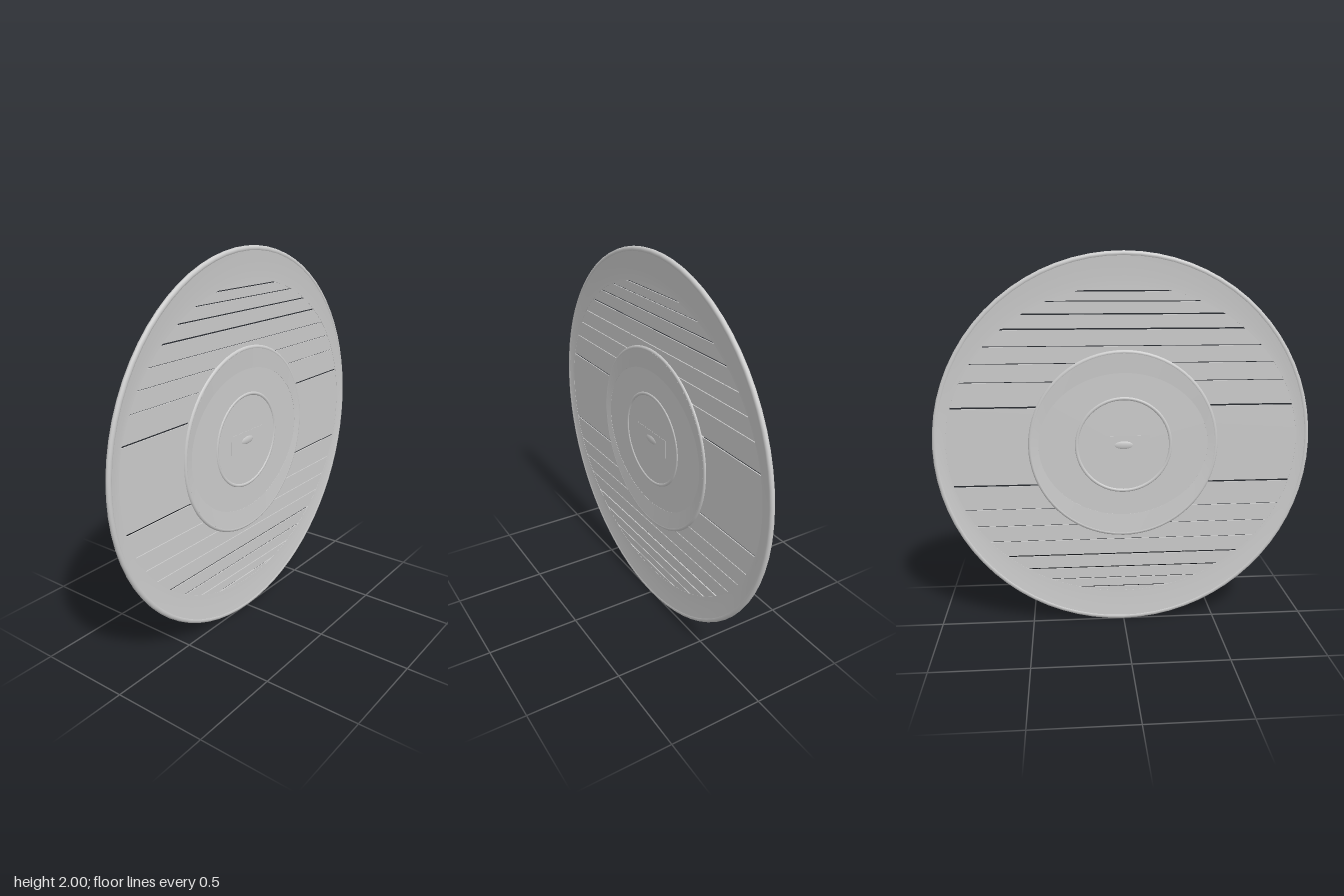
import * as THREE from 'three';
import { toCreasedNormals } from 'three/addons/utils/BufferGeometryUtils.js';

const SEG = 72;
const material = new THREE.MeshStandardMaterial({ color: 0xcccccc });

function add(group, name, geometry) {
  const mesh = new THREE.Mesh(geometry, material);
  mesh.name = name;
  group.add(mesh);
  return mesh;
}

// Two-faced dished band running from an outer circle down to an inner ellipse
function dishedBand(r, zOuter, rx, ry, zInner, power) {
  const steps = 8, section = [];
  for (let i = 0; i <= steps; i++) {
    const t = i / steps;
    section.push([t, zInner + (zOuter - zInner) * Math.pow(1 - t, power)]);
  }
  const loop = [...section, ...section.map(([t, z]) => [t, -z]).reverse()];
  const positions = [], index = [], n = loop.length;
  for (const [t, z] of loop) {
    for (let j = 0; j < SEG; j++) {
      const a = (j / SEG) * Math.PI * 2;
      positions.push((r + (rx - r) * t) * Math.cos(a), (r + (ry - r) * t) * Math.sin(a), z);
    }
  }
  for (let i = 0; i < n; i++) {
    for (let j = 0; j < SEG; j++) {
      const i2 = (i + 1) % n, j2 = (j + 1) % SEG;
      const a = i * SEG + j, b = i * SEG + j2, c = i2 * SEG + j2, d = i2 * SEG + j;
      index.push(a, b, c, a, c, d);
    }
  }
  const g = new THREE.BufferGeometry();
  g.setAttribute('position', new THREE.Float32BufferAttribute(positions, 3));
  g.setIndex(index);
  g.computeVertexNormals();
  return toCreasedNormals(g, 0.6);
}

// Round bead following a circle, flattened front to back
function bead(outer, inner, halfDepth) {
  const tube = (outer - inner) / 2;
  return new THREE.TorusGeometry((outer + inner) / 2, tube, 12, SEG).scale(1, 1, halfDepth / tube);
}

// Horizontal slat between two heights, its ends following the panel's ellipse
function slat(y0, y1, halfDepth) {
  const rx = 0.94, ry = 0.84, steps = 10, right = [];
  for (let i = 0; i <= steps; i++) {
    const y = y0 + ((y1 - y0) * i) / steps;
    right.push(new THREE.Vector2(rx * Math.sqrt(Math.max(0, 1 - (y / ry) ** 2)), y));
  }
  const left = right.map((p) => new THREE.Vector2(-p.x - 1e-4, p.y)).reverse();
  const g = new THREE.ExtrudeGeometry(new THREE.Shape([...right, ...left]), {
    depth: halfDepth * 2, bevelEnabled: false,
  });
  return g.translate(0, 0, -halfDepth);
}

export function createModel() {
  const model = new THREE.Group();
  model.name = 'roundDisc';
  const disc = new THREE.Group();
  disc.name = 'disc';
  disc.position.y = 1;
  model.add(disc);

  // Outer rim and the dished border inside it
  add(disc, 'outerRim', bead(1, 0.97, 0.013));
  add(disc, 'outerBorder', dishedBand(0.98, 0.011, 0.93, 0.83, 0.004, 1.5));

  // Slatted panel, mirrored above and below the wide middle slat
  const slats = new THREE.Group();
  slats.name = 'slats';
  disc.add(slats);
  const cuts = [0.21, 0.342, 0.437, 0.525, 0.612, 0.687, 0.751, 0.802];
  const gaps = [0.009, 0.004, 0.004, 0.004, 0.008, 0.007, 0.005, 0.006];
  add(slats, 'middleSlat', slat(-cuts[0] + gaps[0] / 2, cuts[0] - gaps[0] / 2, 0.003));
  cuts.forEach((cut, i) => {
    const low = cut + gaps[i] / 2;
    const high = i + 1 < cuts.length ? cuts[i + 1] - gaps[i + 1] / 2 : 0.839;
    add(slats, 'upperSlat', slat(low, high, 0.003));
    add(slats, 'lowerSlat', slat(-high, -low, 0.003));
  });

  // Inner medallion: ring, dished border and flat face
  add(disc, 'medallionRing', bead(0.505, 0.48, 0.012));
  add(disc, 'medallionBorder', dishedBand(0.488, 0.011, 0.45, 0.385, 0.0055, 1));
  const face = new THREE.CylinderGeometry(0.48, 0.48, 0.009, SEG).rotateX(Math.PI / 2);
  add(disc, 'medallionFace', face);

  // Centre ring, thin plate and small boss
  add(disc, 'centreRing', bead(0.26, 0.24, 0.009));
  add(disc, 'centrePlate', new THREE.BoxGeometry(0.28, 0.1, 0.012));
  add(disc, 'centreBoss', new THREE.SphereGeometry(1, 24, 12).scale(0.06, 0.025, 0.011));

  return model;
}
